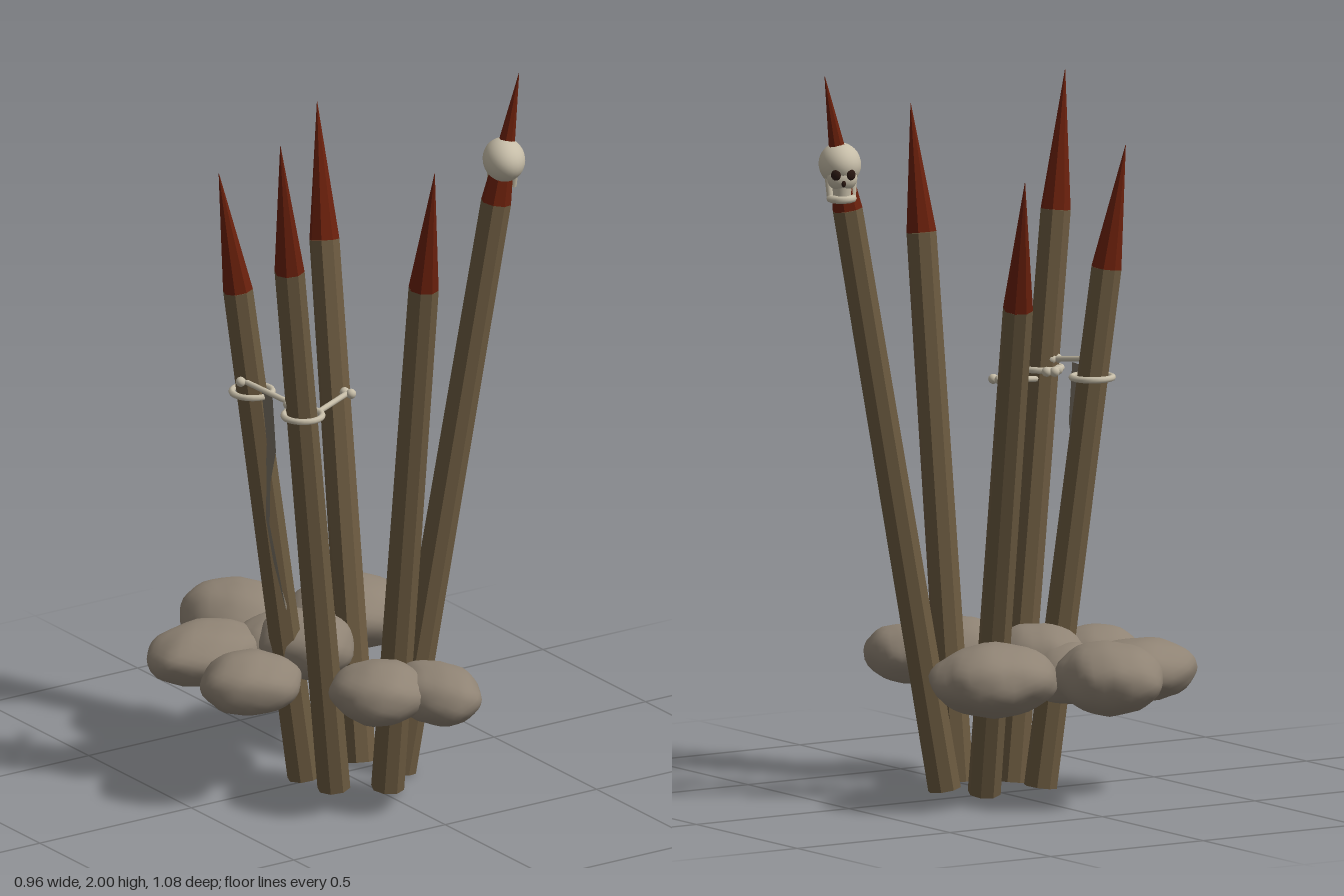
import * as THREE from 'three';
import { mergeVertices } from 'three/addons/utils/BufferGeometryUtils.js';

const V = (x, y, z) => new THREE.Vector3(x, y, z);
const UP = V(0, 1, 0);

function material(name, color, extra = {}) {
  const m = new THREE.MeshStandardMaterial({ color, ...extra });
  m.name = name;
  return m;
}

export function createModel() {
  const wood = material('wood', 0x6b5a40);
  const red = material('driedRed', 0x6a200c);
  const stone = material('stone', 0x8f8374);
  const bone = material('bone', 0xc6bda8);
  const dark = material('socketDark', 0x2a1812);
  const cloth = material('cloth', 0x7a7264, { side: THREE.DoubleSide });

  const model = new THREE.Group();
  model.name = 'stakesAndStones';

  const add = (parent, name, geo, mat, pos) => {
    const mesh = new THREE.Mesh(geo, mat);
    mesh.name = name;
    if (pos) mesh.position.copy(pos);
    parent.add(mesh);
    return mesh;
  };

  // Tapered rod between two points
  const rod = (parent, name, a, b, ra, rb, sides, mat, flat) => {
    const dir = b.clone().sub(a);
    let geo = new THREE.CylinderGeometry(rb, ra, dir.length(), sides);
    if (flat) {
      geo = geo.toNonIndexed();
      geo.computeVertexNormals();
    }
    const mesh = add(parent, name, geo, mat, a.clone().add(b).multiplyScalar(0.5));
    mesh.quaternion.setFromUnitVectors(UP, dir.normalize());
    return mesh;
  };

  // Leaning stakes: foot, shoulder, tip
  const stakes = [
    [V(0.022, 0.01, 0.187), V(0.032, 1.51, 0.348), V(0.033, 1.86, 0.4)],
    [V(0.125, 0.01, 0.093), V(0.397, 1.63, 0.162), V(0.457, 2.0, 0.185)],
    [V(0.073, 0.012, -0.025), V(0.187, 1.405, -0.365), V(0.225, 1.77, -0.457)],
    [V(-0.1, 0.01, 0.105), V(-0.287, 1.57, 0.165), V(-0.331, 1.95, 0.185)],
    [V(-0.12, 0.01, -0.012), V(-0.288, 1.44, -0.085), V(-0.333, 1.78, -0.112)],
  ];
  stakes.forEach(([foot, shoulder, tip]) => {
    const g = new THREE.Group();
    g.name = 'stake';
    rod(g, 'stakeShaft', foot, shoulder, 0.046, 0.042, 8, wood, true);
    rod(g, 'stakePoint', shoulder, tip, 0.042, 0.0006, 8, red, true);
    model.add(g);
  });

  // Lumpy, flattened stones: centre and half sizes
  const stones = [
    [-0.1, 0.36, -0.38, 0.143, 0.1, 0.165],
    [-0.3, 0.345, -0.218, 0.18, 0.085, 0.138],
    [0.178, 0.36, -0.235, 0.183, 0.1, 0.155],
    [-0.08, 0.375, -0.06, 0.128, 0.095, 0.148],
    [-0.333, 0.345, 0.043, 0.143, 0.085, 0.132],
    [-0.09, 0.35, 0.318, 0.135, 0.085, 0.137],
    [0.05, 0.34, 0.385, 0.11, 0.08, 0.153],
    [-0.11, 0.345, -0.17, 0.125, 0.085, 0.11],
  ];
  stones.forEach(([x, y, z, rx, ry, rz], i) => {
    let geo = new THREE.IcosahedronGeometry(1, 5);
    geo.deleteAttribute('normal');
    geo.deleteAttribute('uv');
    geo = mergeVertices(geo, 1e-4);
    const p = geo.attributes.position;
    for (let k = 0; k < p.count; k++) {
      const v = V().fromBufferAttribute(p, k);
      const lump = 1 + 0.035 * Math.sin(4 * v.x + 2 * v.y + i * 1.7)
        * Math.cos(4 * v.z - 3 * v.y + i * 2.3)
        + 0.025 * Math.sin(7 * v.z + 3 * v.x + i) * Math.sin(6 * v.x - 4 * v.y + 2 * i);
      v.multiplyScalar(lump);
      p.setXYZ(k, v.x * rx, v.y * ry, v.z * rz);
    }
    geo.computeVertexNormals();
    add(model, 'stone', geo, stone, V(x, y, z));
  });

  // Rings tied around the two left-hand stakes
  [[-0.236, 1.137, 0.155, 0.053], [-0.248, 1.14, -0.075, 0.056]].forEach(([x, y, z, r]) => {
    const ring = add(model, 'ring', new THREE.TorusGeometry(r, 0.009, 8, 24), bone, V(x, y, z));
    ring.rotation.x = Math.PI / 2;
  });

  // Hanging bones, each with a pair of knobs at the ends
  const bones = [
    [V(-0.25, 1.135, 0.118), V(-0.135, 1.16, -0.04)],
    [V(-0.235, 1.108, 0.14), V(-0.03, 1.134, 0.07)],
    [V(-0.29, 1.185, -0.055), V(-0.252, 1.165, 0.12)],
  ];
  bones.forEach(([a, b]) => {
    const g = new THREE.Group();
    g.name = 'bone';
    rod(g, 'boneShaft', a, b, 0.008, 0.008, 10, bone);
    const side = b.clone().sub(a).cross(UP).normalize().multiplyScalar(0.011);
    for (const end of [a, b]) for (const s of [-1, 1]) {
      add(g, 'boneKnob', new THREE.SphereGeometry(0.014, 12, 8), bone,
        end.clone().addScaledVector(side, s));
    }
    model.add(g);
  });

  // Ragged cloth strip: height, x, z of both edges
  const rows = [
    [1.165, -0.262, 0.045, -0.06], [1.0, -0.25, 0.044, -0.055], [0.9, -0.248, 0.014, -0.05],
    [0.78, -0.252, 0.016, -0.04], [0.66, -0.24, 0.038, -0.015], [0.53, -0.215, 0.042, 0.018],
  ];
  const pts = [], idx = [];
  rows.forEach(([y, x, z0, z1], i) => {
    pts.push(x, y, z0, x + 0.02, y, z1);
    const k = 2 * i;
    if (i) idx.push(k - 2, k, k - 1, k - 1, k, k + 1);
  });
  const strip = new THREE.BufferGeometry();
  strip.setAttribute('position', new THREE.Float32BufferAttribute(pts, 3));
  strip.setIndex(idx);
  strip.computeVertexNormals();
  add(model, 'clothStrip', strip, cloth);

  // Skull impaled on the tallest stake; local +z is its face
  const skull = new THREE.Group();
  skull.name = 'skull';
  skull.position.set(0.414, 1.755, 0.175);
  skull.rotation.y = Math.atan2(0.42, -0.9);
  add(skull, 'cranium', new THREE.SphereGeometry(1, 24, 16), bone).scale.set(0.058, 0.059, 0.077);
  add(skull, 'cheeks', new THREE.SphereGeometry(1, 16, 12), bone, V(0, -0.034, 0.044))
    .scale.set(0.042, 0.034, 0.03);
  add(skull, 'upperTeeth', new THREE.CylinderGeometry(0.027, 0.024, 0.03, 14), bone, V(0, -0.067, 0.04));
  const jaw = add(skull, 'jaw', new THREE.TorusGeometry(0.031, 0.011, 8, 16, Math.PI), bone,
    V(0, -0.09, 0.03));
  jaw.rotation.x = Math.PI / 2;
  for (const s of [-1, 1]) {
    rod(skull, 'jawHinge', V(s * 0.031, -0.09, 0.03), V(s * 0.036, -0.03, 0.02), 0.009, 0.009, 8, bone);
    const eye = add(skull, 'eyeSocket', new THREE.SphereGeometry(1, 14, 10), dark,
      V(s * 0.021, -0.02, 0.069));
    eye.scale.set(0.014, 0.015, 0.006);
    eye.rotation.y = s * 0.4;
  }
  add(skull, 'noseHole', new THREE.SphereGeometry(1, 10, 8), dark, V(0, -0.044, 0.073))
    .scale.set(0.006, 0.009, 0.004);
  model.add(skull);

  return model;
}
